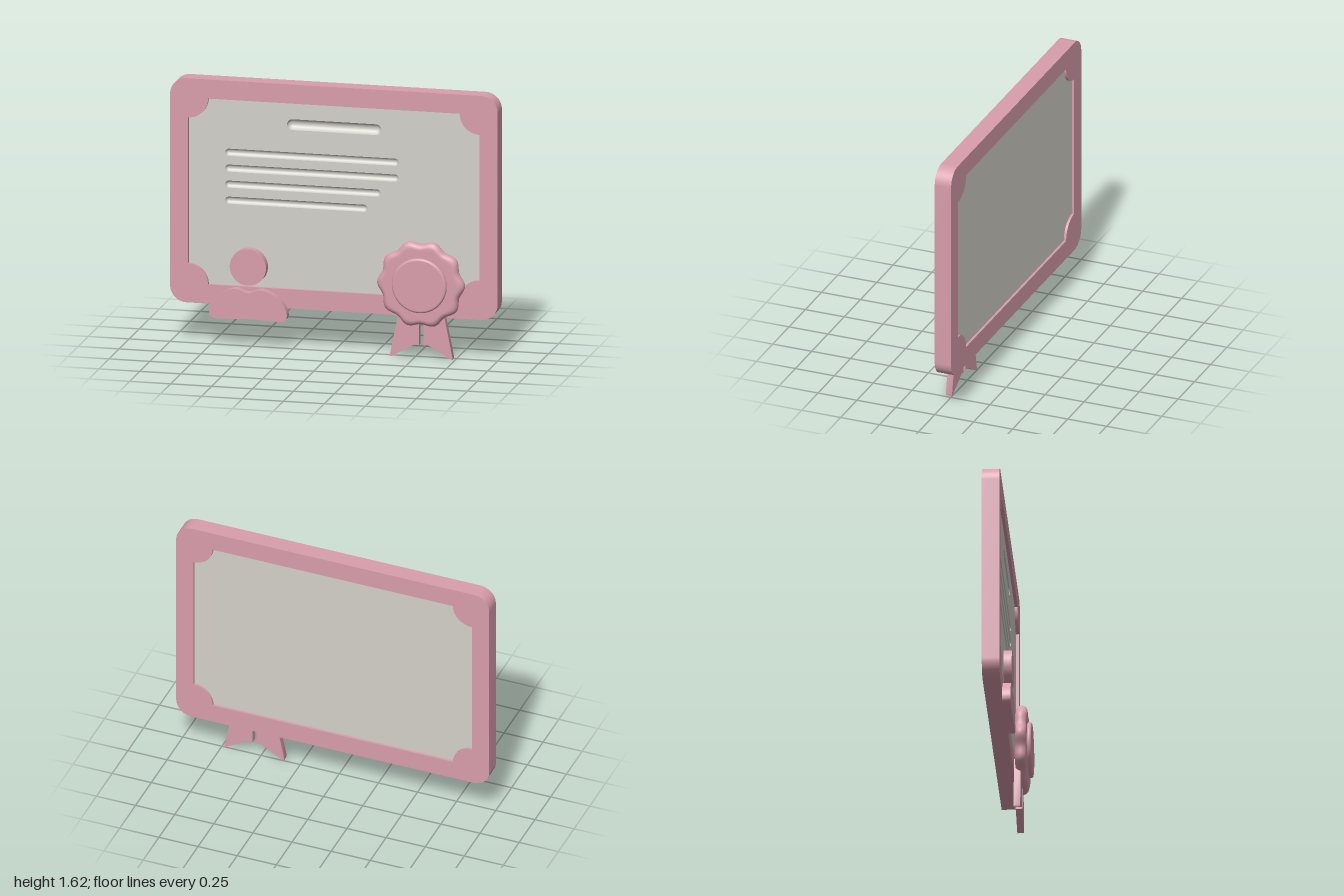
import * as THREE from 'three';
import { mergeVertices, toCreasedNormals } from 'three/addons/utils/BufferGeometryUtils.js';

export function createModel() {
  const group = new THREE.Group();
  const pink = new THREE.MeshStandardMaterial({ color: 0xd89eab });
  pink.name = 'dusty pink';
  const grey = new THREE.MeshStandardMaterial({ color: 0xd3d1c9, side: THREE.DoubleSide });
  grey.name = 'paper grey';

  const add = (name, geometry, material, x = 0, y = 0, z = 0) => {
    const mesh = new THREE.Mesh(geometry, material);
    mesh.name = name;
    mesh.position.set(x, y, z);
    group.add(mesh);
    return mesh;
  };
  const extrude = (shape, depth) => toCreasedNormals(
    new THREE.ExtrudeGeometry(shape, { depth, bevelEnabled: false, curveSegments: 16 }), 0.6);

  // Rounded rectangle centred on (cx, cy)
  const roundedRect = (path, cx, cy, w, h, r) => {
    const x = w / 2 - r, y = h / 2 - r, q = Math.PI / 2;
    path.moveTo(cx + x + r, cy - y);
    [[x, y], [-x, y], [-x, -y], [x, -y]].forEach(([px, py], i) =>
      path.absarc(cx + px, cy + py, r, i * q, (i + 1) * q, false));
    return path;
  };

  // Window outline with corners scooped inward
  const scooped = (path, w, h, cy, r) => {
    const q = Math.PI / 2;
    path.moveTo(w, cy + h - r);
    [[w, h], [-w, h], [-w, -h], [w, -h]].forEach(([px, py], i) =>
      path.absarc(px, cy + py, r, (i - 1) * q, (i - 2) * q, true));
    path.closePath();
    return path;
  };

  // Frame
  const cy = 0.93;
  const frame = roundedRect(new THREE.Shape(), 0, cy, 2, 1.37, 0.1);
  frame.holes.push(scooped(new THREE.Path(), 0.89, 0.568, cy, 0.122));
  add('frame', extrude(frame, 0.105), pink, 0, 0, -0.105);

  // Paper faces, with slots in the front one for the carved lines
  const lines = [ // x start, x end, y, radius
    [-0.29, 0.285, 1.365, 0.033],
    [-0.667, 0.39, 1.173, 0.022],
    [-0.667, 0.39, 1.076, 0.022],
    [-0.667, 0.28, 0.978, 0.022],
    [-0.667, 0.2, 0.88, 0.022],
  ];
  const front = scooped(new THREE.Shape(), 0.89, 0.568, cy, 0.122);
  const back = front.clone();
  const frontZ = -0.018;
  for (const [x0, x1, y, r] of lines) {
    front.holes.push(roundedRect(new THREE.Path(), (x0 + x1) / 2, y, x1 - x0, r * 2, r - 0.0001));

    // Half-round channel behind each slot
    const half = (x1 - x0) / 2 - r, profile = [];
    for (const s of [-1, 1]) {
      for (let i = 0; i <= 8; i++) {
        const a = (s < 0 ? i - 8 : i) * Math.PI / 16;
        profile.push(new THREE.Vector2(Math.cos(a) * r, s * half + Math.sin(a) * r));
      }
    }
    const channel = new THREE.LatheGeometry(profile, 16, Math.PI / 2, Math.PI);
    channel.rotateZ(Math.PI / 2);
    add('carvedLine', channel, grey, (x0 + x1) / 2, y, frontZ);
  }
  add('paperFront', new THREE.ShapeGeometry(front, 16), grey, 0, 0, frontZ);
  const backGeometry = new THREE.ShapeGeometry(back, 16);
  backGeometry.translate(0, -cy, 0).rotateY(Math.PI);
  add('paperBack', backGeometry, grey, 0, cy, -0.09);

  // Portrait badge
  const head = new THREE.CylinderGeometry(0.111, 0.111, 0.05, 48).rotateX(Math.PI / 2);
  add('badgeHead', head, pink, -0.513, 0.493, 0.025);
  const body = new THREE.Shape();
  body.moveTo(0, 0.335);
  body.bezierCurveTo(0.035, 0.34, 0.05, 0.362, 0.095, 0.355);
  body.bezierCurveTo(0.165, 0.34, 0.237, 0.27, 0.238, 0.212);
  body.bezierCurveTo(0.238, 0.178, 0.222, 0.171, 0.18, 0.171);
  body.bezierCurveTo(0.1, 0.172, 0.06, 0.177, 0, 0.177);
  body.bezierCurveTo(-0.06, 0.177, -0.1, 0.172, -0.18, 0.171);
  body.bezierCurveTo(-0.222, 0.171, -0.238, 0.178, -0.238, 0.212);
  body.bezierCurveTo(-0.237, 0.27, -0.165, 0.34, -0.095, 0.355);
  body.bezierCurveTo(-0.05, 0.362, -0.035, 0.34, 0, 0.335);
  add('badgeShoulders', extrude(body, 0.05), pink, -0.513, 0, 0);

  // Ribbon tails, mirrored about the rosette centre
  const rx = 0.543, ry = 0.455;
  for (const s of [-1, 1]) {
    const tail = new THREE.Shape([[0.013, 0.34], [0.013, 0.078], [0.04, 0.083],
      [0.178, 0.004], [0.188, 0], [0.191, 0.012], [0.125, 0.34]]
      .map(([x, y]) => new THREE.Vector2(s * x, y)));
    add(s < 0 ? 'ribbonRight' : 'ribbonLeft', extrude(tail, 0.04), pink, rx, 0, 0);
  }

  // Disc with a round rim; the outline can be waved
  const roundDisc = (radius, z0, z1, wave) => {
    const r = (z1 - z0) / 2, zc = (z0 + z1) / 2, profile = [new THREE.Vector2(0, z0)];
    profile.push(new THREE.Vector2(radius - r * 1.3, z0));
    for (let i = 0; i <= 12; i++) {
      const a = (i / 12 - 0.5) * Math.PI;
      profile.push(new THREE.Vector2(radius - r + Math.cos(a) * r, zc + Math.sin(a) * r));
    }
    profile.push(new THREE.Vector2(radius - r * 1.3, z1), new THREE.Vector2(0, z1));
    const g = new THREE.LatheGeometry(profile, 120).rotateX(Math.PI / 2);
    const p = g.attributes.position;
    for (let i = 0; i < p.count; i++) {
      const x = p.getX(i), y = p.getY(i);
      const k = 1 + wave * Math.cos(10 * Math.atan2(y, x)) * (Math.hypot(x, y) / radius) ** 2;
      p.setXY(i, x * k, y * k);
    }
    g.deleteAttribute('uv');
    g.deleteAttribute('normal');
    const merged = mergeVertices(g);
    merged.computeVertexNormals();
    return merged;
  };
  add('rosette', roundDisc(0.256, 0.008, 0.077, 0.045), pink, rx, ry, 0);
  add('rosetteCentre', roundDisc(0.167, 0.075, 0.103, 0), pink, rx, ry, 0);

  return group;
}
